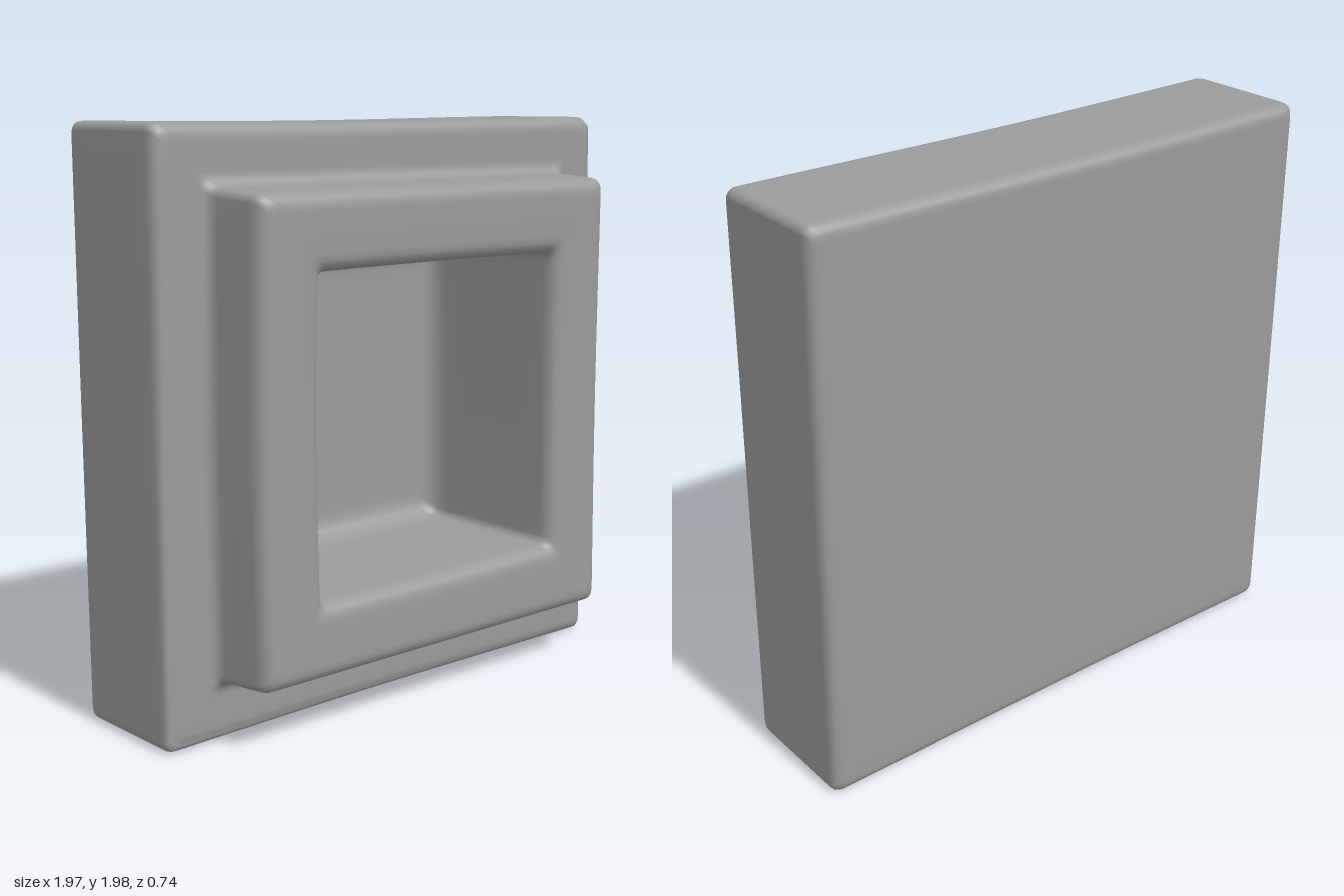
import * as THREE from 'three';

// Section through the block from back centre to recess floor:
// [half size, z, fillet radius]
const SECTION = [
  [0, -0.36, 0], [0.985, -0.36, 0.045], [0.985, 0.117, 0.05],
  [0.792, 0.117, 0.045], [0.776, 0.362, 0.055],
  [0.526, 0.362, 0.06], [0.52, -0.265, 0.09], [0, -0.265, 0],
];

// Round the corners of the section and split its long runs
function roundedSection() {
  const pts = SECTION.map(([h, z]) => new THREE.Vector2(h, z));
  const out = [pts[0].clone()];
  const lineTo = (p) => {
    const from = out[out.length - 1].clone();
    const n = Math.max(1, Math.ceil(from.distanceTo(p) / 0.08));
    for (let k = 1; k <= n; k++) out.push(from.clone().lerp(p, k / n));
  };
  for (let i = 1; i < pts.length - 1; i++) {
    const r = SECTION[i][2];
    const toward = (q) => q.clone().sub(pts[i]).setLength(r).add(pts[i]);
    const a = toward(pts[i - 1]), b = toward(pts[i + 1]);
    lineTo(a);
    const arc = new THREE.QuadraticBezierCurve(a, pts[i], b).getPoints(5);
    out.push(...arc.slice(1));
  }
  lineTo(pts[pts.length - 1]);
  return out;
}

// Square loop with small rounded corners, counter-clockwise
function squareLoop(h, sideSteps = 20, cornerSteps = 4) {
  const r = Math.min(0.03, h * 0.5), s = h - r, loop = [];
  for (let q = 0; q < 4; q++) {
    const c = Math.cos(q * Math.PI / 2), n = Math.sin(q * Math.PI / 2);
    const add = (x, y) => loop.push([x * c - y * n, x * n + y * c]);
    for (let k = 0; k < sideSteps; k++) add(h, -s + 2 * s * k / sideSteps);
    for (let k = 0; k < cornerSteps; k++) {
      const t = k / cornerSteps * Math.PI / 2;
      add(s + r * Math.cos(t), s + r * Math.sin(t));
    }
  }
  return loop;
}

// Slight hand-worked unevenness: soft bulges at the sides, a leaning back
// and a shallow hollow across the raised frame
function unevenPoint(x, y, z) {
  const size = Math.max(Math.abs(x), Math.abs(y));
  const bulge = 0.025 * (0.8 - size);
  const lean = z < 0.1 ? -0.009 * y - 0.006 * x : -0.002 * y;
  const hollow = z > 0.2 ? -0.007 * Math.cos(2.8 * y) : 0;
  return [
    x + x * (bulge + 0.005) * Math.cos(2.5 * y) - (size < 0.6 ? 0.006 : 0),
    y + y * bulge * Math.cos(2.5 * x + 0.3) + 1.005,
    z + lean + hollow,
  ];
}

export function createModel() {
  const group = new THREE.Group();
  group.name = 'steppedSquareBlock';

  const section = roundedSection();
  const loops = section.map((p) => squareLoop(p.x));
  const count = loops[0].length, last = section.length - 2;
  const positions = loops.flatMap((loop, i) =>
    loop.flatMap(([x, y]) => unevenPoint(x, y, section[i].y)));

  // Skin the loops; the first and last close to a point
  const index = [];
  for (let i = 0; i <= last; i++) {
    for (let j = 0; j < count; j++) {
      const a = i * count + j, b = i * count + (j + 1) % count;
      const c = a + count, d = b + count;
      if (i > 0) index.push(a, b, c);
      if (i < last) index.push(b, d, c);
    }
  }
  const geometry = new THREE.BufferGeometry();
  geometry.setAttribute('position', new THREE.Float32BufferAttribute(positions, 3));
  geometry.setIndex(index);
  geometry.computeVertexNormals();

  // Slab, raised frame and recess in one continuous skin
  const block = new THREE.Mesh(geometry, new THREE.MeshStandardMaterial({ color: 0x9b9b9b }));
  block.name = 'slabWithRecessedFrame';
  group.add(block);
  return group;
}
